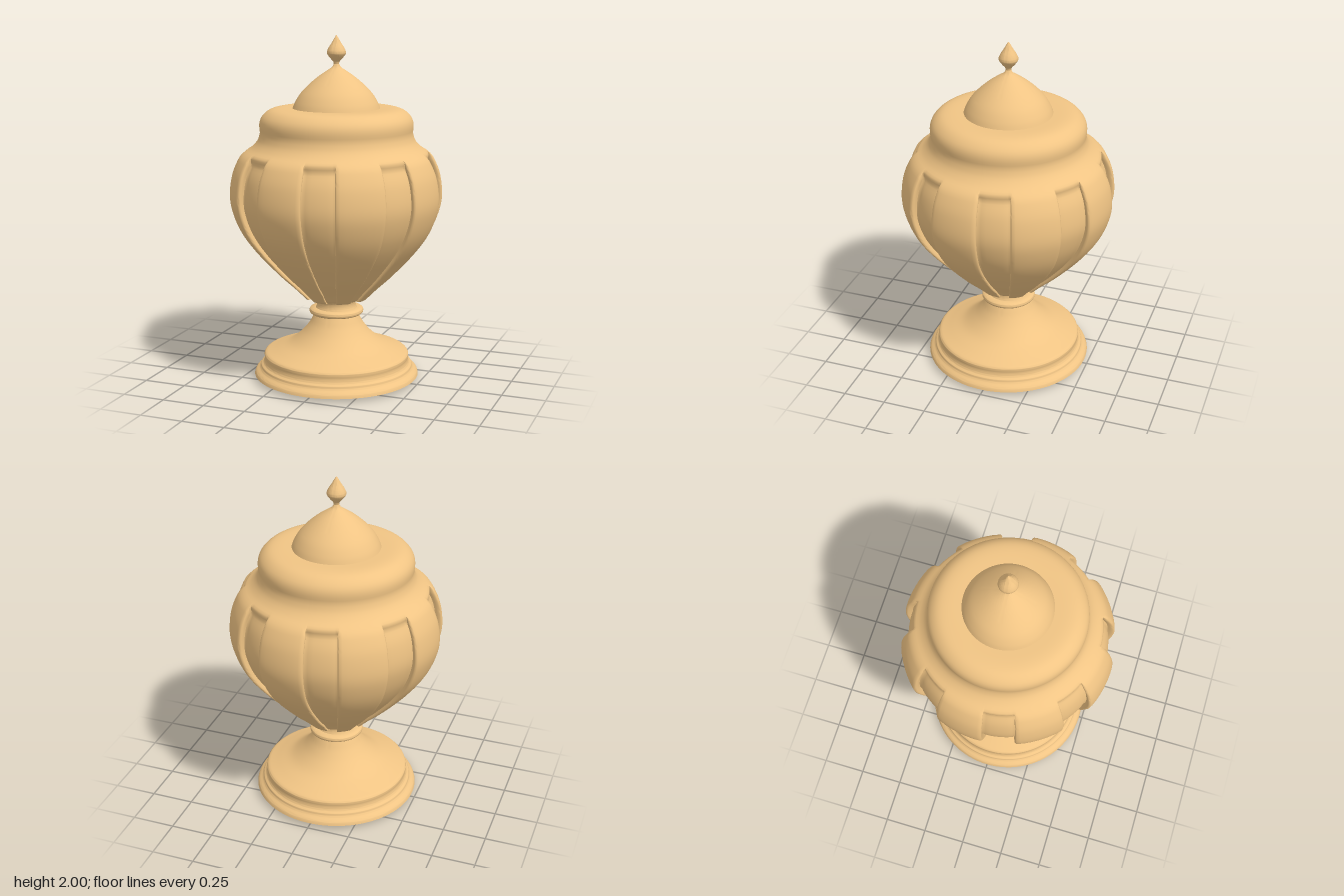
import * as THREE from 'three';
import { toCreasedNormals } from 'three/addons/utils/BufferGeometryUtils.js';

const material = new THREE.MeshStandardMaterial({ color: 0xf0c484 });
const RIBS = 8;

// Smooth profile through [radius, height] points
function smooth(points, count) {
  const curve = new THREE.SplineCurve(points.map(([r, y]) => new THREE.Vector2(r, y)));
  return curve.getSpacedPoints(count).map((p) => new THREE.Vector2(Math.max(p.x, 0), p.y));
}

function makeMesh(name, geometry, crease) {
  const mesh = new THREE.Mesh(toCreasedNormals(geometry, crease), material);
  mesh.name = name;
  return mesh;
}

// Turned part made of several smooth runs joined end to end
function turned(name, ...runs) {
  const profile = runs.flatMap((run) => smooth(run, run.length > 2 ? run.length * 4 : 1));
  const clean = profile.filter((p, i) => i === 0 || p.distanceTo(profile[i - 1]) > 1e-4);
  return makeMesh(name, new THREE.LatheGeometry(clean, 96), 0.6);
}

// Half of one rib and groove: [degrees from rib centre, degrees where flat, groove depth]
const HALF = [
  [0, 0, 0], [4, 4, 0], [8, 8, 0], [11, 11, 0.02], [12.7, 12.3, 0.06],
  [13.4, 12.7, 0.2], [13.5, 13, 0.42], [12.7, 13.3, 0.75], [12.1, 13.6, 1.0],
  [13.2, 14, 1.12], [15, 15, 1.04], [18, 18, 1], [22.5, 22.5, 1],
];

function ribbedBody() {
  const mirrored = HALF.slice(1, -1).reverse().map(([a, b, d]) => [-a, -b, d]);
  const sector = [...mirrored, ...HALF.slice(0, 1), ...HALF.slice(1)];
  const outer = smooth([
    [0.185, 0.48], [0.25, 0.545], [0.34, 0.63], [0.465, 0.765], [0.548, 0.88], [0.595, 0.99],
    [0.612, 1.09], [0.597, 1.21], [0.56, 1.3], [0.53, 1.335], [0.485, 1.365],
    [0.45, 1.405], [0.436, 1.45],
  ], 64);
  const lip = smooth([[0.436, 1.45], [0.439, 1.5], [0.425, 1.54], [0.385, 1.575], [0.33, 1.588], [0.24, 1.588]], 18);
  const rows = [new THREE.Vector2(0.1, 0.482), ...outer, ...lip.slice(1)];
  const columns = RIBS * sector.length;
  const positions = [], index = [];
  rows.forEach(({ x: r, y }, i) => {
    // Grooves run out at the shoulder and narrow towards the foot
    const fade = i === 0 ? 0 : 1 - THREE.MathUtils.smoothstep(y, 1.29, 1.35);
    const depth = 0.042 * fade * Math.min(1, 0.35 + r * 1.2);
    for (let k = 0; k < RIBS; k++) {
      for (const [cut, flat, d] of sector) {
        const degrees = k * 45 - 11.25 + THREE.MathUtils.lerp(flat, cut, fade);
        const a = THREE.MathUtils.degToRad(degrees);
        const radius = r - depth * d;
        positions.push(radius * Math.sin(a), y, radius * Math.cos(a));
      }
    }
    if (i === 0) return;
    for (let j = 0; j < columns; j++) {
      const n = (j + 1) % columns, lo = (i - 1) * columns, hi = i * columns;
      index.push(lo + j, lo + n, hi + j, lo + n, hi + n, hi + j);
    }
  });
  const geometry = new THREE.BufferGeometry();
  geometry.setAttribute('position', new THREE.Float32BufferAttribute(positions, 3));
  geometry.setIndex(index);
  return makeMesh('ribbedBody', geometry, 0.9);
}

export function createModel() {
  const urn = new THREE.Group();
  urn.name = 'urn';

  // Stepped foot sweeping up into the stem
  urn.add(turned('foot',
    [[0, 0], [0.29, 0.003]],
    [[0.29, 0.003], [0.45, 0.012]],
    [[0.45, 0.012], [0.482, 0.022]],
    [[0.482, 0.022], [0.474, 0.042], [0.452, 0.06], [0.445, 0.07]],
    [[0.445, 0.07], [0.443, 0.08], [0.428, 0.092], [0.422, 0.115], [0.424, 0.14], [0.415, 0.152]],
    [[0.415, 0.152], [0.35, 0.176], [0.27, 0.212], [0.205, 0.265], [0.16, 0.32], [0.135, 0.365], [0.125, 0.385]],
  ));

  // Rounded ring around the stem
  urn.add(turned('stemRing',
    [[0.1, 0.383], [0.145, 0.383]],
    [[0.145, 0.383], [0.155, 0.39], [0.158, 0.4], [0.155, 0.411], [0.145, 0.418]],
    [[0.145, 0.418], [0.118, 0.419]],
  ));

  // Short neck under the body
  urn.add(turned('neck', [[0.122, 0.415], [0.114, 0.435], [0.115, 0.46], [0.13, 0.484]]));

  urn.add(ribbedBody());

  // Domed lid
  urn.add(turned('lid',
    [[0.25, 1.585], [0.235, 1.622], [0.205, 1.67], [0.16, 1.718], [0.105, 1.765], [0.05, 1.803], [0.025, 1.82], [0.015, 1.838]],
  ));

  // Bud finial
  urn.add(turned('finial',
    [[0.015, 1.835], [0.018, 1.85], [0.038, 1.873], [0.054, 1.898], [0.046, 1.925], [0.026, 1.957], [0.011, 1.983], [0, 2]],
  ));
  return urn;
}
